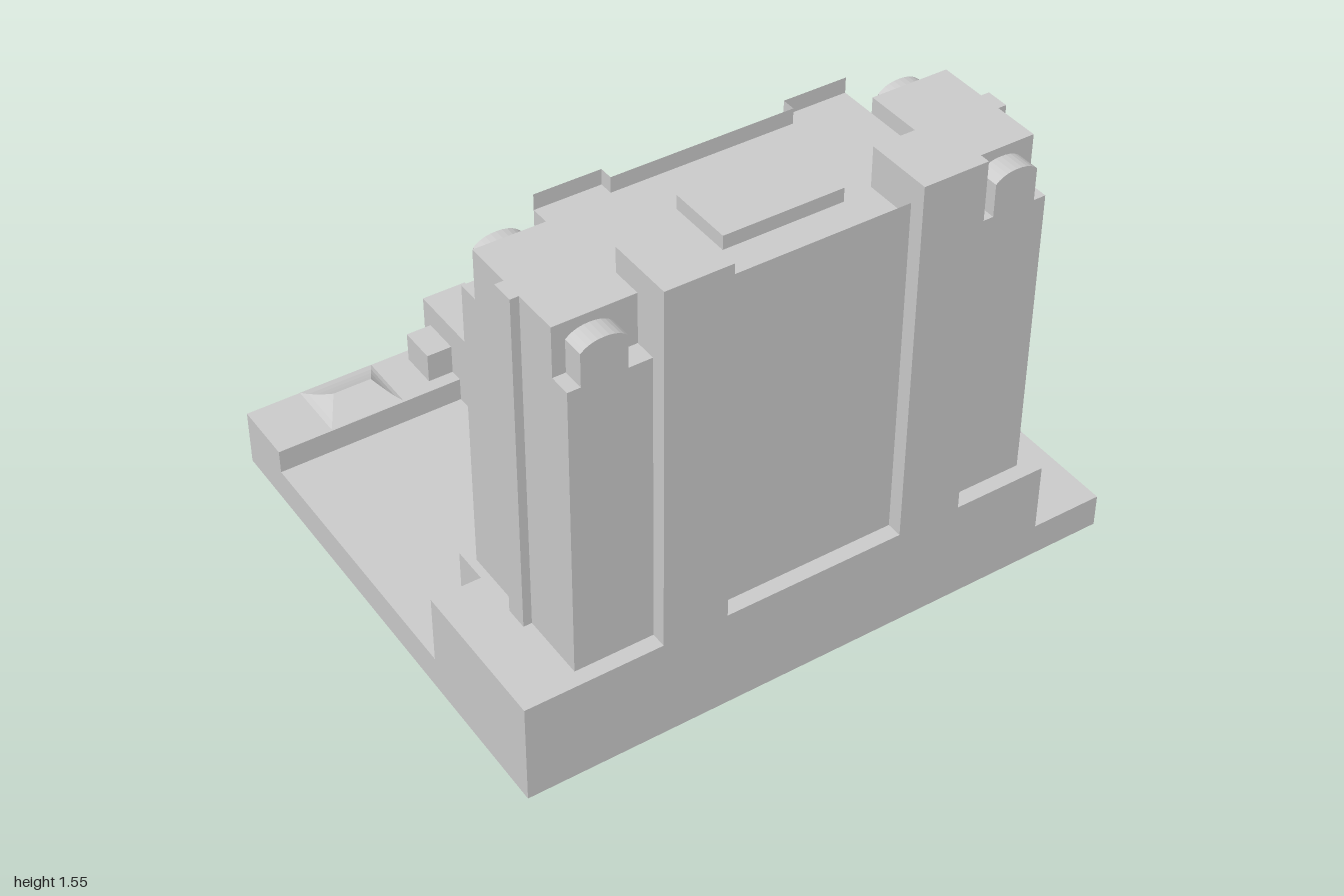
import * as THREE from 'three';

const mat = new THREE.MeshStandardMaterial({ color: 0xcccccc, flatShading: true, side: THREE.DoubleSide });

export function createModel() {
  const root = new THREE.Group();

  const add = (name, geo, parent = root) => {
    const m = new THREE.Mesh(geo, mat);
    m.name = name;
    parent.add(m);
    return m;
  };
  const group = (name) => {
    const g = new THREE.Group();
    g.name = name;
    root.add(g);
    return g;
  };
  // Box given by its limits on each axis
  const box = (name, x0, x1, y0, y1, z0, z1, parent) => {
    const g = new THREE.BoxGeometry(x1 - x0, y1 - y0, z1 - z0);
    g.translate((x0 + x1) / 2, (y0 + y1) / 2, (z0 + z1) / 2);
    return add(name, g, parent);
  };
  const quadGeo = (quads) => {
    const p = [];
    for (const [a, b, c, d] of quads) p.push(...a, ...b, ...c, ...a, ...c, ...d);
    const g = new THREE.BufferGeometry();
    g.setAttribute('position', new THREE.Float32BufferAttribute(p, 3));
    g.computeVertexNormals();
    return g;
  };
  // Flat plate from [x, z] corners, with optional holes
  const plate = (name, pts, y, holes = [], parent) => {
    const v = (l) => l.map(([x, z]) => new THREE.Vector2(x, -z));
    const s = new THREE.Shape(v(pts));
    holes.forEach((h) => s.holes.push(new THREE.Path(v(h))));
    return add(name, new THREE.ShapeGeometry(s).rotateX(-Math.PI / 2).translate(0, y, 0), parent);
  };
  // Thin upright walls along [x, z] corners
  const walls = (name, pts, y0, y1, closed = true, parent) => {
    const q = [];
    for (let i = 0; i < pts.length - (closed ? 0 : 1); i++) {
      const [a, b] = pts[i], [c, d] = pts[(i + 1) % pts.length];
      q.push([[a, y0, b], [c, y0, d], [c, y1, d], [a, y1, b]]);
    }
    return add(name, quadGeo(q), parent);
  };
  const rect = (x0, x1, z0, z1) => [[x0, z1], [x1, z1], [x1, z0], [x0, z0]];
  const column = (x, z, y0, y1, parent) =>
    add('column', new THREE.CylinderGeometry(0.007, 0.007, y1 - y0, 8).translate(x, (y0 + y1) / 2, z), parent);

  // Hipped roof: rectangles shrinking from the eaves to a ridge along a hollow curve
  const hipRoof = (name, [x0, x1, z0, z1], [rx0, rx1, rz0, rz1], y0, y1, power, parent, notch) => {
    const ts = notch ? [0, notch.t, 0.7, 1] : [0, 0.25, 0.5, 0.75, 1];
    const ring = (t) => {
      const L = THREE.MathUtils.lerp, y = y0 + (y1 - y0) * t ** power;
      const a = L(x0, rx0, t), b = L(x1, rx1, t), c = L(z0, rz0, t), d = L(z1, rz1, t);
      return [[a, y, d], [b, y, d], [b, y, c], [a, y, c]];
    };
    const quads = [];
    for (let i = 0; i < ts.length - 1; i++) {
      const lo = ring(ts[i]), hi = ring(ts[i + 1]);
      for (let k = 0; k < 4; k++) {
        const n = (k + 1) % 4;
        if (notch && i === 0 && k === 0) {
          const at = (p, x) => [x, p[1], p[2]];
          quads.push([lo[0], at(lo[0], notch.x0), at(hi[0], notch.x0), hi[0]]);
          quads.push([at(lo[0], notch.x1), lo[1], hi[1], at(hi[0], notch.x1)]);
        } else quads.push([lo[k], lo[n], hi[n], hi[k]]);
      }
    }
    return add(name, quadGeo(quads), parent);
  };

  // Hollow base, open below, with an opening under the courtyard building
  const base = group('base');
  const outline = [[-1, 0.87], [1, 0.87], [1, -0.79], [0.47, -0.79], [0.47, -0.83], [-0.2, -0.83], [-0.2, -0.79], [-1, -0.79]];
  const hole = [[-0.37, 0.25], [0.76, 0.25], [0.76, 0.155], [0.4, 0.155], [0.4, -0.52], [-0.37, -0.52]];
  plate('baseTop', outline, 0.11, [hole], base);
  walls('baseSides', outline, 0, 0.11, true, base);
  box('raisedCorner', -1, -0.37, 0.11, 0.19, -0.79, -0.575, base);

  // Podium under the tower
  const podium = group('podium');
  plate('podiumTop', [[-1, 0.87], [0.76, 0.87], [0.76, 0.7], [0.82, 0.7], [0.82, 0.25], [-0.84, 0.25], [-0.84, 0.37], [-1, 0.37]], 0.34, [], podium);
  walls('podiumSides', [[-1, 0.87], [0.76, 0.87], [0.76, 0.7], [0.82, 0.7], [0.82, 0.25], [-0.84, 0.25], [-0.84, 0.37], [-1, 0.37]], 0.11, 0.34, true, podium);

  // Tower: recessed middle, pylons, stepped end blocks
  const tower = group('tower');
  box('middleBlock', -0.56, 0.45, 0.34, 1.42, 0.295, 0.82, tower);
  walls('frontParapet', [[-0.35, 0.82], [0.24, 0.82]], 1.42, 1.47, false, tower);
  walls('backParapet', [[-0.56, 0.25], [-0.35, 0.25], [-0.35, 0.295], [0.24, 0.295], [0.24, 0.25], [0.45, 0.25]], 1.42, 1.47, false, tower);
  box('penthouse', -0.245, 0.14, 1.42, 1.465, 0.45, 0.665, tower);
  for (const [x0, x1] of [[-0.56, -0.35], [0.24, 0.45]]) {
    box('frontPylon', x0, x1, 0.34, 1.55, 0.65, 0.87, tower);
    box('backPylon', x0, x1, 0.34, 1.42, 0.25, 0.3, tower);
  }
  // Arch-topped dormer outline
  const arch = new THREE.Shape();
  arch.moveTo(-0.07, 0);
  arch.lineTo(0.07, 0);
  arch.lineTo(0.07, 0.105);
  arch.quadraticCurveTo(0.045, 0.13, 0, 0.13);
  arch.quadraticCurveTo(-0.045, 0.13, -0.07, 0.105);
  for (const s of [-1, 1]) {
    const cx = -0.053;
    const span = (a, b) => (s > 0 ? [cx + a, cx + b] : [cx - b, cx - a]);
    box('endBlock', ...span(0.505, 0.76), 0.34, 1.31, 0.3, 0.82, tower);
    box('endBlockTop', ...span(0.505, 0.76), 1.31, 1.47, 0.37, 0.75, tower);
    box('sideRib', ...span(0.755, 0.787), 0.34, 1.47, 0.525, 0.6, tower);
    for (const z of [0.3, 0.75]) {
      const g = new THREE.ExtrudeGeometry(arch, { depth: 0.07, bevelEnabled: false, curveSegments: 5 });
      add('archedDormer', g.translate(cx + s * 0.65, 1.31, z), tower);
    }
  }

  // Courtyard building with a sunken court and flared canopies
  const court = group('courtyard');
  const opening = rect(-0.04, 0.29, -0.4, -0.055);
  plate('terrace', rect(-0.22, 0.4, -0.52, 0.155), 0.19, [opening], court);
  walls('terraceSides', [[0.4, 0.155], [0.4, -0.52], [-0.37, -0.52]], 0.11, 0.19, false, court);
  plate('courtFloor', opening, 0.125, [], court);
  walls('courtWalls', opening, 0.125, 0.19, true, court);
  const gallery = rect(-0.37, -0.22, -0.52, 0.25);
  plate('galleryRoof', gallery, 0.29, [], court);
  walls('galleryOuterWall', [[-0.22, 0.25], [-0.37, 0.25], [-0.37, -0.52], [-0.22, -0.52]], 0.11, 0.29, false, court);
  walls('galleryInnerWall', [[-0.22, 0.25], [-0.22, -0.52]], 0.19, 0.29, false, court);
  for (const [x0, x1, z0, z1] of [[0.05, 0.21, -0.52, -0.365], [0.05, 0.21, -0.08, 0.085], [-0.2, -0.02, -0.31, -0.14]]) {
    const g = new THREE.CylinderGeometry(Math.SQRT1_2, Math.SQRT1_2 * 0.7, 0.03, 4).rotateY(Math.PI / 4);
    add('canopy', g.scale(x1 - x0, 1, z1 - z0).translate((x0 + x1) / 2, 0.205, (z0 + z1) / 2), court);
  }
  for (let i = 0; i < 5; i++) {
    const x = -0.03 + i * 0.0775, z = -0.39 + i * 0.08;
    column(x, -0.39, 0.125, 0.19, court);
    column(x, -0.065, 0.125, 0.19, court);
    column(-0.03, z, 0.125, 0.19, court);
    column(0.28, z, 0.125, 0.19, court);
  }
  // Lean-to passage against the podium
  add('leanTo', quadGeo([
    [[-0.22, 0.187, 0.155], [-0.22, 0.24, 0.25], [0.76, 0.24, 0.25], [0.76, 0.187, 0.155]],
    [[0.76, 0.11, 0.155], [-0.22, 0.11, 0.155], [-0.22, 0.187, 0.155], [0.76, 0.187, 0.155]],
    [[0.76, 0.11, 0.25], [0.76, 0.11, 0.155], [0.76, 0.187, 0.155], [0.76, 0.24, 0.25]],
  ]), court);
  box('passagePorch', 0.29, 0.415, 0.11, 0.237, 0.125, 0.19, court);
  box('cornerTurret', -0.37, -0.22, 0.11, 0.37, -0.79, -0.52, court);
  box('turretAnnex', -0.455, -0.37, 0.11, 0.29, -0.75, -0.62, court);

  // Main hall on the rear edge, its roof notched for a canopy
  const hall = group('mainHall');
  hipRoof('hallRoof', [-0.22, 0.49, -0.88, -0.44], [-0.12, 0.385, -0.66, -0.66], 0.22, 0.295, 1.1, hall, { t: 0.39, x0: -0.02, x1: 0.26 });
  box('hallBody', -0.2, 0.43, 0.11, 0.225, -0.75, -0.52, hall);
  for (let i = 0; i < 6; i++) column(-0.17 + i * 0.122, -0.82, 0.11, 0.225, hall);

  // Gate pavilion beside the courtyard
  const gate = group('gatePavilion');
  hipRoof('gateRoof', [0.375, 0.64, -0.37, -0.09], [0.505, 0.51, -0.3, -0.16], 0.22, 0.295, 1.4, gate);
  box('gateWall', 0.4, 0.44, 0.11, 0.22, -0.33, -0.12, gate);
  for (const x of [0.5, 0.6]) for (const z of [-0.33, -0.13]) column(x, z, 0.11, 0.23, gate);

  // Two-tier garden pavilion
  const garden = group('gardenPavilion');
  hipRoof('lowerRoof', [0.835, 1, -0.37, -0.09], [0.862, 0.973, -0.335, -0.12], 0.24, 0.26, 1, garden);
  walls('roofBand', rect(0.875, 0.96, -0.31, -0.15), 0.25, 0.27, true, garden);
  hipRoof('upperRoof', [0.85, 0.985, -0.34, -0.12], [0.91, 0.925, -0.285, -0.17], 0.265, 0.293, 1, garden);
  for (const x of [0.865, 0.965]) for (const z of [-0.32, -0.23, -0.14]) column(x, z, 0.11, 0.25, garden);

  // Low roof on the raised corner
  hipRoof('cornerRoof', [-0.82, -0.57, -0.785, -0.575], [-0.755, -0.625, -0.68, -0.68], 0.195, 0.235, 1.4);

  return root;
}
